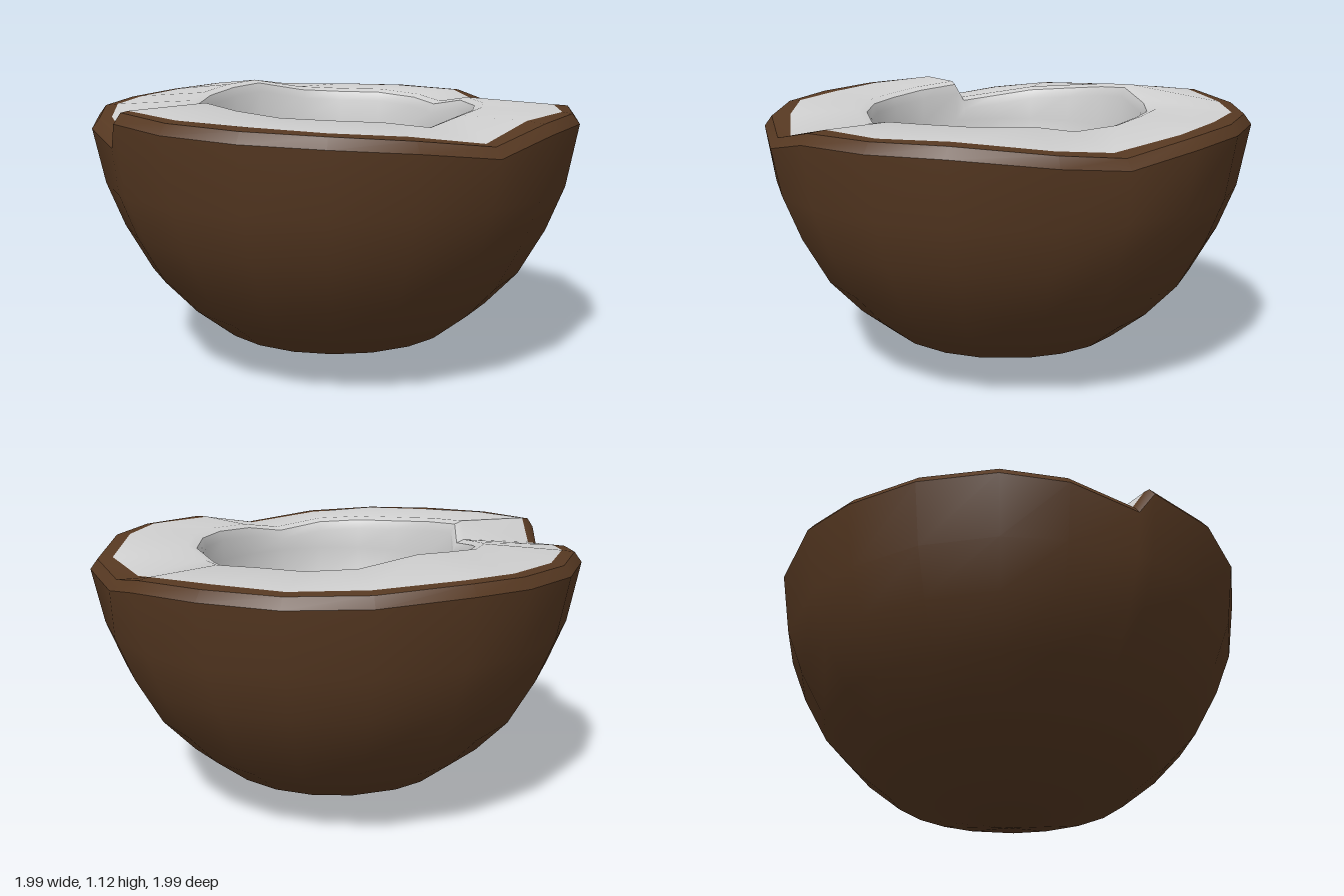
import * as THREE from 'three';
import { toCreasedNormals } from 'three/addons/utils/BufferGeometryUtils.js';

// One row per spoke round the broken edge:
// [angle in degrees, shell radius, shell height, flesh radius, lip radius, lip height]
const SPOKES = [
  [0, 0.99, 1.06, 0.90, 0.56, 1.07],
  [17, 1.0, 1.06, 0.93, 0.56, 1.07],
  [36, 0.99, 1.055, 0.885, 0.555, 1.06],
  [53, 0.99, 1.0, 0.91, 0.56, 1.03],
  [72, 0.99, 1.04, 0.885, 0.56, 1.06],
  [90, 0.99, 1.06, 0.91, 0.56, 1.07],
  [108, 0.99, 1.07, 0.885, 0.56, 1.075],
  [126, 1.0, 1.08, 0.92, 0.56, 1.09],
  [144, 0.99, 1.09, 0.93, 0.56, 1.105],
  [148, 0.975, 0.99, 0.925, 0.55, 1.03],
  [165, 1.0, 1.03, 0.92, 0.56, 1.05],
  [180, 1.0, 1.055, 0.92, 0.56, 1.075],
  [198, 1.0, 1.06, 0.92, 0.57, 1.09],
  [216, 0.995, 1.07, 0.92, 0.57, 1.11],
  [231, 1.0, 1.08, 0.93, 0.575, 1.12],
  [252, 0.995, 1.065, 0.91, 0.57, 1.08],
  [270, 1.0, 1.06, 0.92, 0.57, 1.07],
  [288, 0.995, 1.06, 0.90, 0.565, 1.07],
  [306, 1.0, 1.05, 0.92, 0.57, 1.055],
  [322, 0.965, 1.0, 0.85, 0.525, 1.04],
  [338, 1.0, 1.03, 0.91, 0.56, 1.07],
];

// Joins rings into a surface; each ring maps a spoke to [radius, height]
function ringSurface(rings) {
  const pos = [], index = [], n = SPOKES.length;
  const isPole = (ring) => ring(SPOKES[0])[0] === 0;
  for (const ring of rings) {
    for (const s of SPOKES) {
      const a = THREE.MathUtils.degToRad(s[0]);
      const [r, y] = ring(s);
      pos.push(r * Math.cos(a), y, r * Math.sin(a));
    }
  }
  for (let i = 0; i < rings.length - 1; i++) {
    for (let j = 0; j < n; j++) {
      const k = (j + 1) % n;
      const a = i * n + j, b = i * n + k, c = a + n, d = b + n;
      if (!isPole(rings[i])) index.push(a, c, b);
      if (!isPole(rings[i + 1])) index.push(b, c, d);
    }
  }
  const geo = new THREE.BufferGeometry();
  geo.setAttribute('position', new THREE.Float32BufferAttribute(pos, 3));
  geo.setIndex(index);
  return toCreasedNormals(geo, 0.75);
}

export function createModel() {
  const huskBrown = new THREE.MeshStandardMaterial({ color: 0x573922 });
  const fleshWhite = new THREE.MeshStandardMaterial({ color: 0xd0d0d0 });
  const group = new THREE.Group();
  group.name = 'halfCoconut';

  const add = (name, rings, material) => {
    const mesh = new THREE.Mesh(ringSurface(rings), material);
    mesh.name = name;
    group.add(mesh);
  };
  const fixed = (r, y) => () => [r, y];
  const shellEdge = ([, r, h]) => [r, h - 0.04];
  const shellTop = ([, r, h]) => [r - 0.03, h];
  const fleshEdge = ([, , h, f]) => [f, h + 0.005];

  // Bowl of the shell, from its pointed base to the broken edge
  const bowl = [[0, 0], [0.5, 0.14], [0.65, 0.26], [0.78, 0.4], [0.885, 0.59], [0.955, 0.77]];
  add('shell', [...bowl.map(([r, y]) => fixed(r, y)), shellEdge], huskBrown);

  // Bevelled thickness of the shell
  add('shellRim', [shellEdge, shellTop, fleshEdge], huskBrown);

  // Flesh: broken top, rounded lip and hollow
  const hollow = [[0.54, 0.8], [0.5, 0.66], [0.42, 0.52], [0.3, 0.42], [0.15, 0.36], [0, 0.34]];
  add('flesh', [
    fleshEdge,
    ([, , , , l, h]) => [l + 0.05, h],
    ([, , , , l, h]) => [l + 0.015, h - 0.012],
    ([, , , , l, h]) => [l, h - 0.05],
    ([, , , , l]) => [l, 0.93],
    ...hollow.map(([r, y]) => fixed(r, y)),
  ], fleshWhite);

  return group;
}
